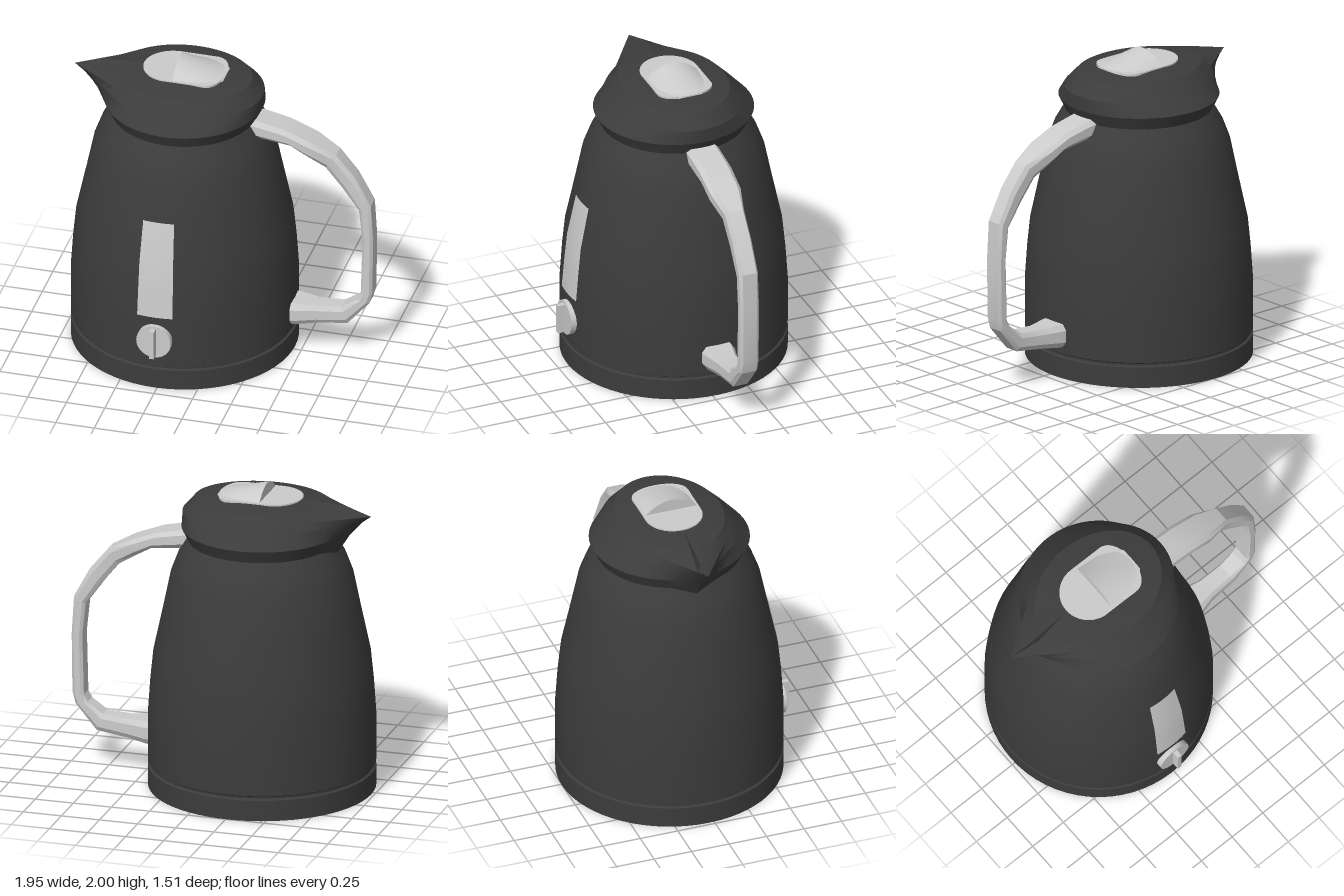
import * as THREE from 'three';
import { toCreasedNormals } from 'three/addons/utils/BufferGeometryUtils.js';

const CX = -0.265, CZ = -0.037; // vertical axis of the jug
const dark = new THREE.MeshStandardMaterial({ color: 0x3c3c3c, side: THREE.DoubleSide });
const grey = new THREE.MeshStandardMaterial({ color: 0xcccccc, side: THREE.DoubleSide });

function add(group, name, geometry, material, crease = 0.5) {
  const mesh = new THREE.Mesh(toCreasedNormals(geometry, crease), material);
  mesh.name = name;
  group.add(mesh);
  return mesh;
}

// Skin over a list of equal-length rings of [x, y, z], capped at both ends
function loft(rings) {
  const n = rings[0].length, pos = [], index = [];
  rings.forEach(ring => ring.forEach(p => pos.push(...p)));
  for (let j = 0; j < rings.length - 1; j++) {
    for (let i = 0; i < n; i++) {
      const k = (i + 1) % n;
      const a = j * n + i, b = j * n + k, c = a + n, d = b + n;
      index.push(a, c, b, b, c, d);
    }
  }
  const cap = (ring, start, top) => {
    const centre = pos.length / 3;
    for (let k = 0; k < 3; k++) pos.push(ring.reduce((s, p) => s + p[k], 0) / n);
    for (let i = 0; i < n; i++) {
      const a = start + i, b = start + (i + 1) % n;
      if (top) index.push(centre, b, a);
      else index.push(centre, a, b);
    }
  };
  cap(rings[0], 0, false);
  cap(rings[rings.length - 1], (rings.length - 1) * n, true);
  const g = new THREE.BufferGeometry();
  g.setAttribute('position', new THREE.Float32BufferAttribute(pos, 3));
  g.setIndex(index);
  return g;
}

// Ellipse drawn out by tangent lines to a spout point at x = tip
function teardrop([y, rx, rz, tip, dip = 0]) {
  const t0 = Math.acos(-Math.min(rx / (CX - tip), 0.995));
  const arc = 26, line = 6, half = [];
  const end = [CX + rx * Math.cos(t0), rz * Math.sin(t0)];
  for (let i = 0; i <= arc; i++) {
    const t = t0 * i / arc;
    half.push([CX + rx * Math.cos(t), rz * Math.sin(t)]);
  }
  for (let i = 1; i <= line; i++) {
    half.push([end[0] + (tip - end[0]) * i / line, end[1] * (1 - i / line)]);
  }
  const last = half.length - 1;
  const ring = half.map(([x, z], i) => [x, i === last ? y - dip : y, CZ + z]);
  for (let i = last - 1; i > 0; i--) ring.push([half[i][0], y, CZ - half[i][1]]);
  return ring;
}

export function createModel() {
  const group = new THREE.Group();
  const vectors = list => list.map(([r, y]) => new THREE.Vector2(r, y));

  // Base and body
  const base = add(group, 'base', new THREE.LatheGeometry(vectors([
    [0, 0], [0.715, 0], [0.715, 0.135], [0.7, 0.142], [0.7, 0.157], [0.3, 0.157],
  ]), 64), dark);
  base.position.set(CX, 0, CZ);
  const side = [[0.715, 0.165], [0.715, 0.48], [0.7, 0.7], [0.682, 0.88],
    [0.62, 1.17], [0.573, 1.4], [0.528, 1.52], [0.468, 1.625]];
  const body = add(group, 'body', new THREE.LatheGeometry(
    vectors([[0.6, 0.155], [0.7, 0.155], ...side, [0, 1.625]]), 64), dark);
  body.position.set(CX, 0, CZ);

  // Lid with spout: y, x radius, z radius, spout tip x, groove depth
  add(group, 'lidAndSpout', loft([
    [1.57, 0.44, 0.44, -0.75],
    [1.622, 0.462, 0.462, -0.785],
    [1.71, 0.505, 0.505, -0.84],
    [1.8, 0.505, 0.42, -0.92],
    [1.845, 0.465, 0.376, -0.98],
    [1.886, 0.43, 0.335, -0.83, 0.05],
    [1.915, 0.265, 0.19, -0.535],
  ].map(teardrop)), dark, 0.4);

  // Lid button: flat plate with a sloping thumb ramp
  const plate = y => Array.from({ length: 48 }, (_, i) => {
    const t = i / 48 * Math.PI * 2, c = Math.cos(t), s = Math.sin(t);
    const x = c < 0 ? -0.34 + 0.19 * c : -0.12 + 0.125 * Math.pow(c, 0.8);
    return [x, y, CZ - 0.003 + 0.185 * s];
  });
  add(group, 'lidButton', loft([plate(1.9), plate(1.922)]), grey);
  const ramp = [[-0.3, 0.175, 0.085], [-0.15, 0.168, 0.045],
    [-0.04, 0.135, 0.016], [0.005, 0.08, 0.004]];
  add(group, 'buttonRamp', loft(ramp.map(([x, w, h]) =>
    Array.from({ length: 21 }, (_, i) => {
      const t = i / 20 * Math.PI;
      return [x, 1.915 + h * Math.sin(t) ** 2, CZ + w * Math.cos(t)];
    }))), grey);

  // Handle: outer x, y, inner x, y, half width
  const handle = [
    [0.16, 1.67, 0.16, 1.54, 0.105],
    [0.25, 1.652, 0.25, 1.535, 0.105],
    [0.4, 1.62, 0.44, 1.512, 0.105],
    [0.58, 1.55, 0.54, 1.455, 0.102],
    [0.73, 1.47, 0.66, 1.375, 0.066],
    [0.85, 1.325, 0.77, 1.24, 0.064],
    [0.955, 1.13, 0.878, 1.09, 0.064],
    [0.97, 0.88, 0.9, 0.88, 0.064],
    [0.965, 0.5, 0.89, 0.48, 0.064],
    [0.945, 0.42, 0.865, 0.435, 0.064],
    [0.805, 0.255, 0.765, 0.365, 0.064],
    [0.6, 0.226, 0.6, 0.352, 0.07],
    [0.47, 0.21, 0.47, 0.36, 0.105],
    [0.38, 0.205, 0.38, 0.36, 0.105],
  ];
  // Bevelled section: sideways factor, share of the way from inner to outer
  const section = [[1, 0.25], [1, 0.75], [0.75, 1], [-0.75, 1],
    [-1, 0.75], [-1, 0.25], [-0.75, 0], [0.75, 0]];
  add(group, 'handle', loft(handle.map(([ox, oy, ix, iy, w]) => section.map(
    ([s, k]) => [ix + (ox - ix) * k, iy + (oy - iy) * k, CZ + s * w]))), grey, 0.3);

  // Level window lying on the front of the body
  const strip = [[0.716, 0.515], [0.7, 0.7], [0.682, 0.88], [0.624, 1.155]]
    .map(([r, y]) => [r + 0.005, y]);
  const win = add(group, 'levelWindow',
    new THREE.LatheGeometry(vectors(strip), 6, -0.16, 0.32), grey);
  win.position.set(CX, 0, CZ);

  // Control knob with grip bar
  const disc = add(group, 'knobDisc', new THREE.CylinderGeometry(0.112, 0.112, 0.07, 40), grey);
  disc.rotation.x = Math.PI / 2;
  disc.position.set(CX, 0.35, 0.672);
  const bar = add(group, 'knobGrip', new THREE.BoxGeometry(0.03, 0.195, 0.065), grey);
  bar.position.set(CX, 0.35, 0.722);

  return group;
}
